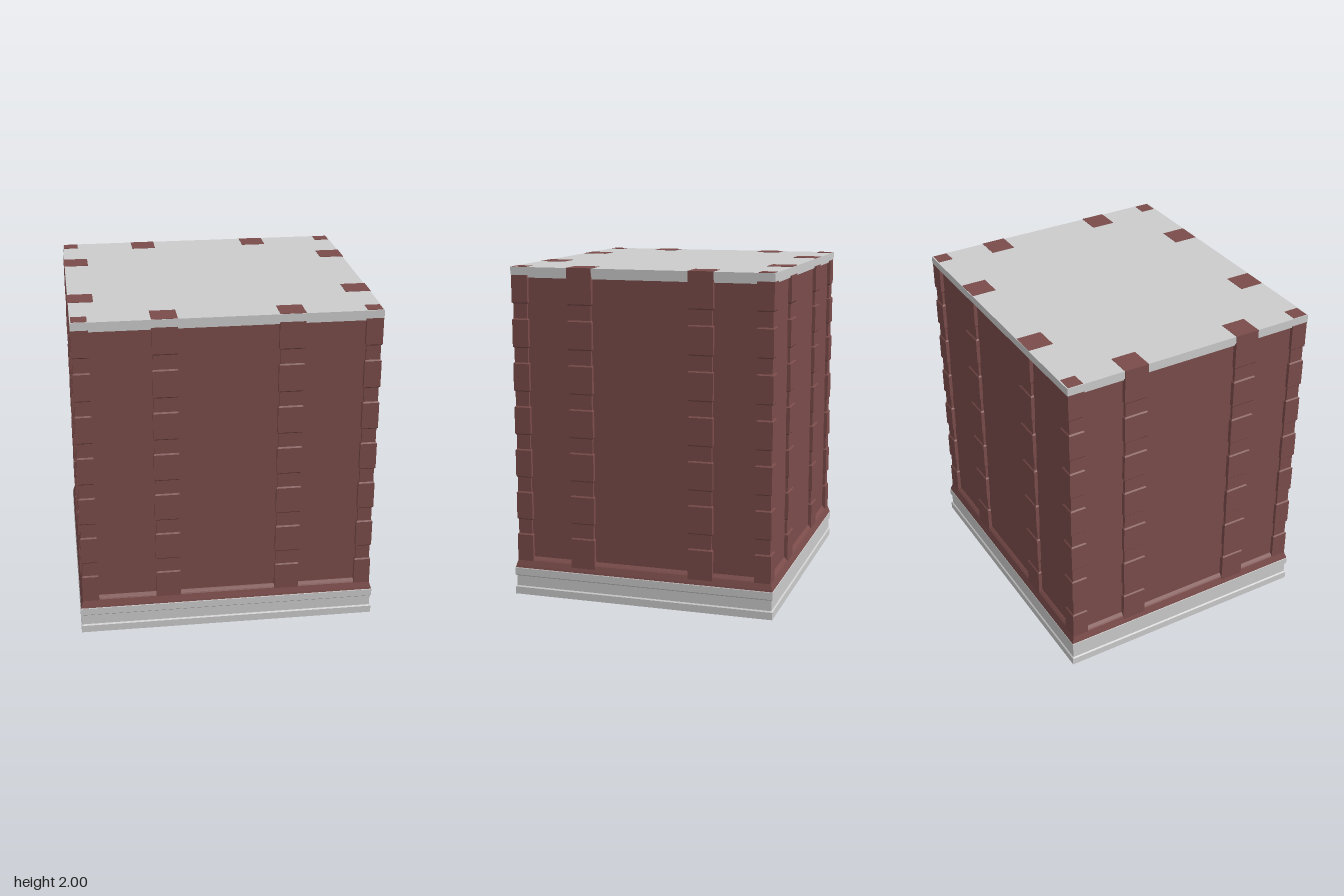
import * as THREE from 'three';

const grey = new THREE.MeshStandardMaterial({ color: 0xcccccc, flatShading: true });
const brick = new THREE.MeshStandardMaterial({ color: 0x7a4c4a, flatShading: true });

// Stack of rectangles: each level is [y, half width, half depth].
function stack(levels) {
  const pos = [], idx = [];
  for (const [y, w, d] of levels) pos.push(-w, y, d, w, y, d, w, y, -d, -w, y, -d);
  const last = (levels.length - 1) * 4;
  for (let r = 0; r < last; r += 4) {
    for (let i = 0; i < 4; i++) {
      const a = r + i, b = r + (i + 1) % 4;
      idx.push(a, b, b + 4, a, b + 4, a + 4);
    }
  }
  idx.push(0, 2, 1, 0, 3, 2, last, last + 1, last + 2, last, last + 2, last + 3);
  const indexed = new THREE.BufferGeometry();
  indexed.setAttribute('position', new THREE.Float32BufferAttribute(pos, 3));
  indexed.setIndex(idx);
  const g = indexed.toNonIndexed();
  g.computeVertexNormals();
  return g;
}

// Square column of alternating raised blocks and recessed joints.
function blockColumn(half, topHalf) {
  const inner = half - 0.007, levels = [[0.17, half, half]];
  const step = 0.2625;
  for (let i = 0; i < 6; i++) {
    const y = 0.215 + i * step;
    levels.push([y + 0.16, half, half], [y + 0.168, inner, inner],
      [y + 0.255, inner, inner], [y + step, half, half]);
  }
  levels.push([1.95, half, half], [1.951, topHalf, topHalf], [2, topHalf, topHalf]);
  return stack(levels);
}

export function createModel() {
  const model = new THREE.Group();
  const add = (parent, name, geometry, material, x = 0, z = 0) => {
    const mesh = new THREE.Mesh(geometry, material);
    mesh.name = name;
    mesh.position.set(x, 0, z);
    parent.add(mesh);
  };

  // Stepped stone base
  add(model, 'base', stack([
    [0, 0.905, 0.805], [0.045, 0.905, 0.805], [0.052, 0.897, 0.797],
    [0.115, 0.897, 0.797], [0.122, 0.905, 0.805], [0.165, 0.905, 0.805], [0.171, 0.9, 0.8],
  ]), grey);

  // Brick skirting sloping in to the wall
  add(model, 'skirting', stack([
    [0.168, 0.903, 0.803], [0.18, 0.9, 0.8], [0.215, 0.889, 0.789],
    [0.222, 0.884, 0.784], [0.237, 0.87, 0.77],
  ]), brick);

  // Recessed wall panels
  add(model, 'walls', stack([[0.2, 0.868, 0.768], [1.945, 0.868, 0.768]]), brick);

  // Roof slab with a small lower step
  add(model, 'roof', stack([
    [1.936, 0.88, 0.78], [1.95, 0.88, 0.78], [1.951, 0.891, 0.793], [1.998, 0.891, 0.793],
  ]), grey);

  // Two pilasters on each face, one pillar at each corner
  const pilasters = new THREE.Group();
  pilasters.name = 'pilasters';
  const corners = new THREE.Group();
  corners.name = 'cornerPillars';
  model.add(pilasters, corners);
  const pilaster = blockColumn(0.075, 0.075), corner = blockColumn(0.05, 0.045);
  for (const sx of [-1, 1]) {
    for (const sz of [-1, 1]) {
      add(pilasters, 'facePilaster', pilaster, brick, sx * 0.365, sz * 0.715);
      add(pilasters, 'sidePilaster', pilaster, brick, sx * 0.82, sz * 0.365);
      add(corners, 'cornerPillar', corner, brick, sx * 0.84, sz * 0.74);
    }
  }
  return model;
}
